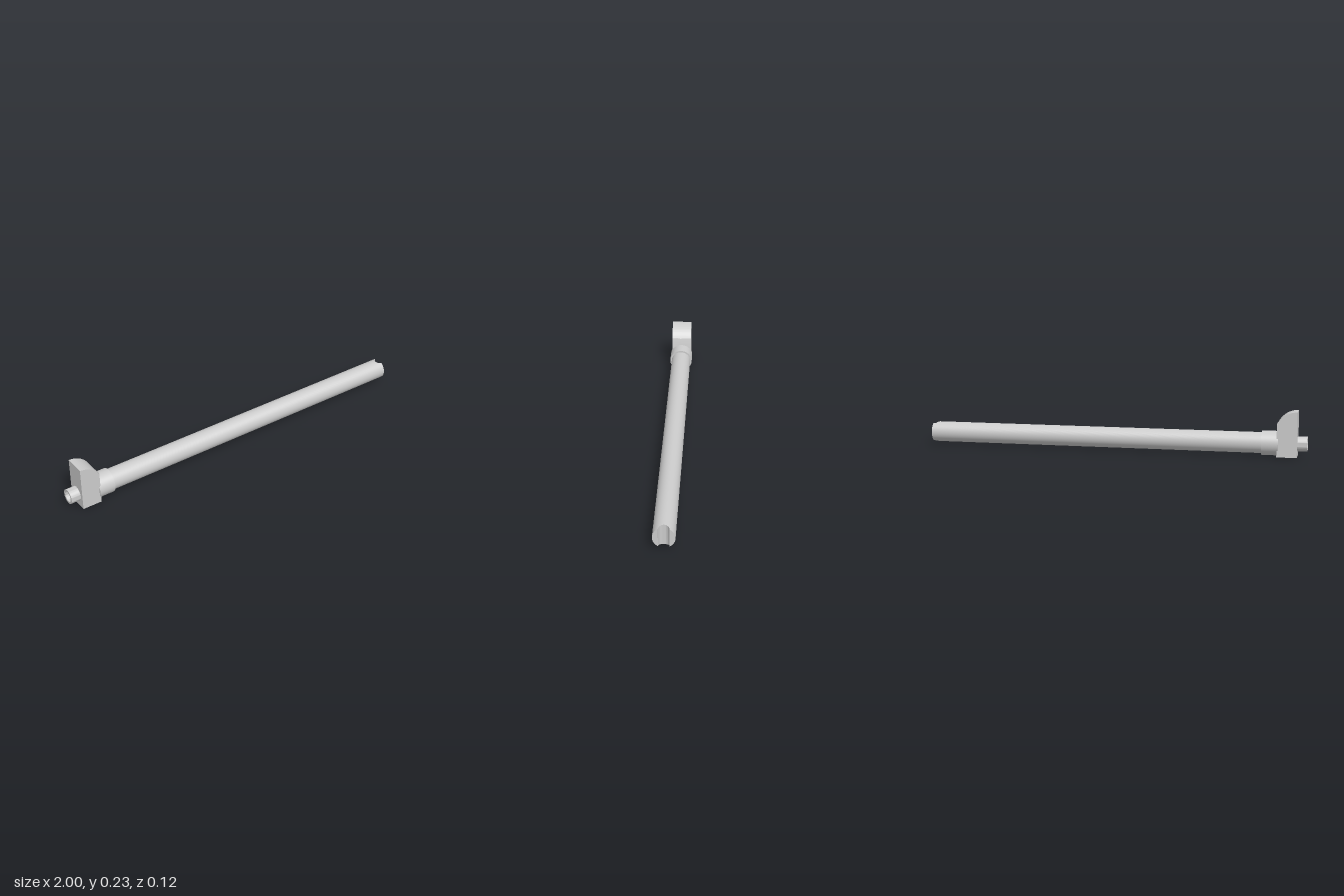
import * as THREE from 'three';
import { toCreasedNormals } from 'three/addons/utils/BufferGeometryUtils.js';
import { ParametricGeometry } from 'three/addons/geometries/ParametricGeometry.js';

const AXIS_Y = 0.0645;
const ROD_R = 0.0535;
const SLOT_R = ROD_R * 0.5;

export function createModel() {
  const group = new THREE.Group();
  const grey = new THREE.MeshStandardMaterial({ color: 0xcccccc });
  grey.name = 'light grey';

  const add = (name, geometry, x = 0, y = 0, z = 0) => {
    const mesh = new THREE.Mesh(geometry, grey);
    mesh.name = name;
    mesh.position.set(x, y, z);
    group.add(mesh);
    return mesh;
  };

  // Rod end: a half-round groove cut across the tip, running vertically
  const tipX = (z) => 1 - Math.sqrt(Math.max(0, SLOT_R * SLOT_R - z * z));

  // Long rod whose end follows the groove
  const rodSide = (u, v, target) => {
    const a = u * Math.PI * 2;
    const z = ROD_R * Math.sin(a);
    target.set(THREE.MathUtils.lerp(-0.78, tipX(z), v), ROD_R * Math.cos(a), z);
  };
  add('rod', new ParametricGeometry(rodSide, 144, 1), 0, AXIS_Y);

  const rodTip = (u, v, target) => {
    const t = (0.5 - u) * Math.PI;
    const z = ROD_R * Math.sin(t);
    target.set(tipX(z), (2 * v - 1) * ROD_R * Math.cos(t), z);
  };
  add('slottedTip', toCreasedNormals(new ParametricGeometry(rodTip, 72, 1), 0.6), 0, AXIS_Y);

  // Collar between the rod and the block
  const collar = new THREE.CylinderGeometry(0.0625, 0.0625, 0.085, 64);
  collar.rotateZ(Math.PI / 2);
  add('collar', collar, -0.8125, AXIS_Y);

  // Upright block with a rounded top corner
  const profile = new THREE.Shape();
  profile.moveTo(-0.95, 0);
  profile.lineTo(-0.848, 0);
  profile.lineTo(-0.848, 0.17);
  profile.absarc(-0.95, 0.1165, 0.1145, 0.47, Math.PI / 2, false);
  profile.closePath();
  const block = new THREE.ExtrudeGeometry(profile, { depth: 0.109, bevelEnabled: false, curveSegments: 24 });
  add('block', toCreasedNormals(block, 0.5), 0, 0, -0.0545);

  // Hollow stub on the outer face of the block
  const stubProfile = [[0.038, 0], [0.038, 0.05], [0.027, 0.05], [0.027, 0.002], [0, 0.002]]
    .map(([r, h]) => new THREE.Vector2(r, h));
  const stub = new THREE.LatheGeometry(stubProfile, 48);
  stub.rotateZ(Math.PI / 2);
  add('hollowStub', toCreasedNormals(stub, 0.6), -0.95, AXIS_Y);

  return group;
}
